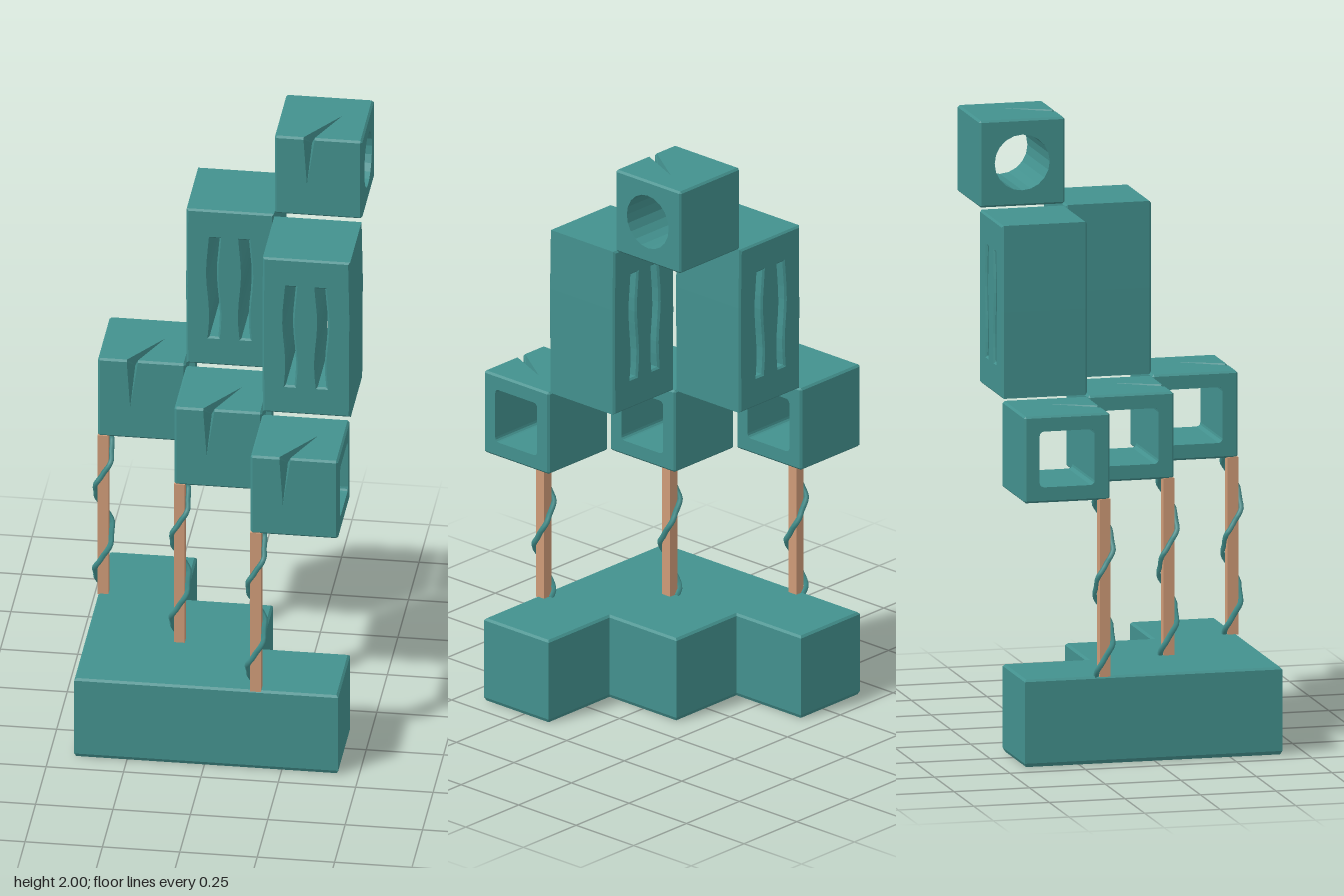
import * as THREE from 'three';

const V = (x, y, z) => new THREE.Vector3(x, y, z);
const P = (x, y) => new THREE.Vector2(x, y);
const teal = new THREE.MeshStandardMaterial({ color: 0x43918e, side: THREE.DoubleSide });
teal.name = 'tealStone';
const wood = new THREE.MeshStandardMaterial({ color: 0xcf9b78 });
wood.name = 'paleWood';

// Collects flat faces into one faceted geometry
class Facets {
  constructor() { this.points = []; }
  poly(...p) {
    for (let i = 1; i < p.length - 1; i++) this.points.push(p[0], p[i], p[i + 1]);
  }
  // Polygon turned so that it faces away from the centre
  outward(...p) {
    const n = p[1].clone().sub(p[0]).cross(p[2].clone().sub(p[0]));
    const mid = p.reduce((s, q) => s.add(q), V(0, 0, 0));
    this.poly(...(n.dot(mid) < 0 ? p.reverse() : p));
  }
  // Flat outline with an optional hole, placed by a mapping function
  face(outline, map, hole) {
    const all = hole ? outline.concat(hole) : outline;
    for (const t of THREE.ShapeUtils.triangulateShape(outline, hole ? [hole] : []))
      this.outward(...t.map(k => map(all[k])));
  }
  build() {
    const g = new THREE.BufferGeometry().setFromPoints(this.points);
    g.computeVertexNormals();
    return g;
  }
}

function add(parent, name, geometry, material, x = 0, y = 0, z = 0) {
  const m = new THREE.Mesh(geometry, material);
  m.name = name;
  m.position.set(x, y, z);
  parent.add(m);
  return m;
}

// Chamfered cube pierced sideways, with a split over its front top edge
function crackedCube(hole) {
  const h = 0.1415, i = 0.135, f = new Facets();
  const square = [P(-i, -i), P(i, -i), P(i, i), P(-i, i)];
  const a1 = -0.048, a2 = -0.012;
  const low = P(-0.037, -0.03), far = P(0.055, 0.02);
  f.face([P(-i, -i), P(i, -i), P(i, i), P(a2, i), low, P(a1, i), P(-i, i)], p => V(p.x, p.y, h));
  f.face([P(-i, -i), P(a1, -i), far, P(a2, -i), P(i, -i), P(i, i), P(-i, i)], p => V(p.x, h, -p.y));
  f.face(square, p => V(p.x, p.y, -h));
  f.face(square, p => V(p.x, -h, p.y));
  for (const s of [-1, 1]) f.face(square, p => V(s * h, p.y, p.x), hole);
  // chamfers
  for (const s of [-1, 1]) for (const t of [-1, 1]) {
    const spans = s > 0 && t > 0 ? [[-i, a1], [a2, i]] : [[-i, i]];
    for (const [l, r] of spans)
      f.outward(V(l, s * h, t * i), V(r, s * h, t * i), V(r, s * i, t * h), V(l, s * i, t * h));
    f.outward(V(s * h, -i, t * i), V(s * h, i, t * i), V(s * i, i, t * h), V(s * i, -i, t * h));
    f.outward(V(s * h, t * i, -i), V(s * h, t * i, i), V(s * i, t * h, i), V(s * i, t * h, -i));
    for (const u of [-1, 1])
      f.outward(V(s * h, t * i, u * i), V(s * i, t * h, u * i), V(s * i, t * i, u * h));
  }
  // inner walls of the split
  const B = V(low.x, low.y, h), T = V(far.x, h, -far.y), M = V(-0.025, 0.108, 0.108);
  for (const a of [a1, a2]) {
    const F = V(a, i, h), U = V(a, h, i);
    const tris = [[B, F, M], [F, U, M], [U, T, M]];
    for (const t of tris) f.poly(...(a === a1 ? t.reverse() : t));
  }
  // walls of the sideways hole
  hole.forEach((p, k) => {
    const q = hole[(k + 1) % hole.length];
    f.poly(V(-h, p.y, p.x), V(-h, q.y, q.x), V(h, q.y, q.x), V(h, p.y, p.x));
  });
  return f.build();
}

// Tall block with two wavering slits through it
function slitBlock() {
  const w = 0.141, h = 0.282, b = 0.006;
  const shape = new THREE.Shape([P(-w, -h), P(w + 0.002, -h), P(w + 0.004, 0.08), P(w, h), P(-w, h), P(-w - 0.002, 0)]);
  for (const [c, s] of [[-0.053, 1], [0.05, -1]]) {
    const right = [], left = [];
    for (let k = 0; k <= 8; k++) {
      const y = -0.18 + 0.045 * k, x = c + 0.005 * s * Math.sin(k * 0.9);
      right.push(P(x + 0.014, y));
      left.unshift(P(x - 0.014, y));
    }
    shape.holes.push(new THREE.Path(right.concat(left)));
  }
  const g = new THREE.ExtrudeGeometry(shape, {
    depth: 2 * w - 2 * b, bevelEnabled: true, bevelSize: b, bevelThickness: b, bevelOffset: -b, bevelSegments: 1
  });
  return g.translate(0, 0, b - w);
}

// Stepped plinth, lofted from inset outlines, with a shallow hollow below
function steppedBase() {
  const outline = [
    [-0.42, -0.43, 1, 1], [-0.14, -0.43, -1, 1], [-0.14, -0.15, -1, 1], [0.145, -0.15, -1, 1],
    [0.145, 0.14, -1, 1], [0.433, 0.14, -1, 1], [0.433, 0.422, -1, -1], [-0.42, 0.422, 1, -1]
  ];
  const f = new Facets();
  const rings = [[0.045, 0.055], [0.014, 0.002], [0.006, 0], [0, 0.012], [0, 0.278], [0.007, 0.285]]
    .map(([d, y]) => outline.map(([x, z, sx, sz]) => V(x + sx * d, y, z + sz * d)));
  for (let r = 0; r < rings.length - 1; r++)
    outline.forEach((_, k) => {
      const n = (k + 1) % outline.length;
      f.poly(rings[r][k], rings[r + 1][k], rings[r + 1][n], rings[r][n]);
    });
  // top and hollow ceiling
  [[rings[5], 1], [rings[0], -1]].forEach(([ring, up]) => {
    const flat = ring.map(p => P(p.x, p.z));
    for (const t of THREE.ShapeUtils.triangulateShape(flat, [])) {
      const [a, b, c] = t.map(k => ring[k]);
      const ny = b.clone().sub(a).cross(c.clone().sub(a)).y;
      if (ny * up > 0) f.poly(a, b, c); else f.poly(a, c, b);
    }
  });
  // sloping chip in the hollow's corner
  const c = V(-0.41, 0.001, 0.41), e = V(-0.2, 0.054, 0.17);
  f.poly(c, V(-0.41, 0.004, 0.2), e);
  f.poly(c, e, V(0.05, 0.004, 0.41));
  return f.build();
}

// Creeper winding around a post
function creeper() {
  const pts = [];
  for (let k = 0; k <= 28; k++) {
    const y = 0.86 - 0.575 * k / 28, a = (0.8 - y) / 0.3 * Math.PI * 2;
    const r = 0.029 + 0.004 * Math.sin(k * 1.7);
    pts.push(V(r * Math.cos(a), y, r * Math.sin(a)));
  }
  return new THREE.TubeGeometry(new THREE.CatmullRomCurve3(pts), 56, 0.009, 4);
}

export function createModel() {
  const model = new THREE.Group();
  model.name = 'steppedBlockTower';
  const c = [-0.28, 0.006, 0.291], cz = [-0.29, -0.004, 0.282];

  add(model, 'steppedBase', steppedBase(), teal);

  // hole outlines: rounded square and circle
  const squareHole = [];
  for (let k = 0; k < 16; k++) {
    const q = Math.floor(k / 4), a = (q + (k % 4) / 3) * Math.PI / 2;
    const sx = q === 0 || q === 3 ? 1 : -1, sy = q < 2 ? 1 : -1;
    squareHole.push(P(sx * 0.077 + 0.014 * Math.cos(a), sy * 0.077 + 0.014 * Math.sin(a)));
  }
  const roundHole = Array.from({ length: 20 }, (_, k) =>
    P(0.091 * Math.cos(k * Math.PI / 10), 0.091 * Math.sin(k * Math.PI / 10)));

  // diagonal row of cubes, each on a post wrapped by a creeper
  const cube = crackedCube(squareHole), vine = creeper();
  const post = new THREE.BoxGeometry(0.035, 0.58, 0.035);
  for (let k = 0; k < 3; k++) {
    add(model, 'windowCube', cube, teal, c[k], 1.002, cz[k]);
    const x = c[k] - 0.125, z = cz[k] + 0.125;
    add(model, 'post', post, wood, x, 0.573, z);
    add(model, 'creeper', vine, teal, x, 0, z);
  }

  // two slit blocks and the crowning cube
  const tall = slitBlock();
  add(model, 'slitBlock', tall, teal, c[1], 1.43, cz[0]);
  add(model, 'slitBlock', tall, teal, c[2], 1.43, cz[1]);
  add(model, 'crownCube', crackedCube(roundHole), teal, c[2], 1.8585, cz[0]);
  return model;
}
